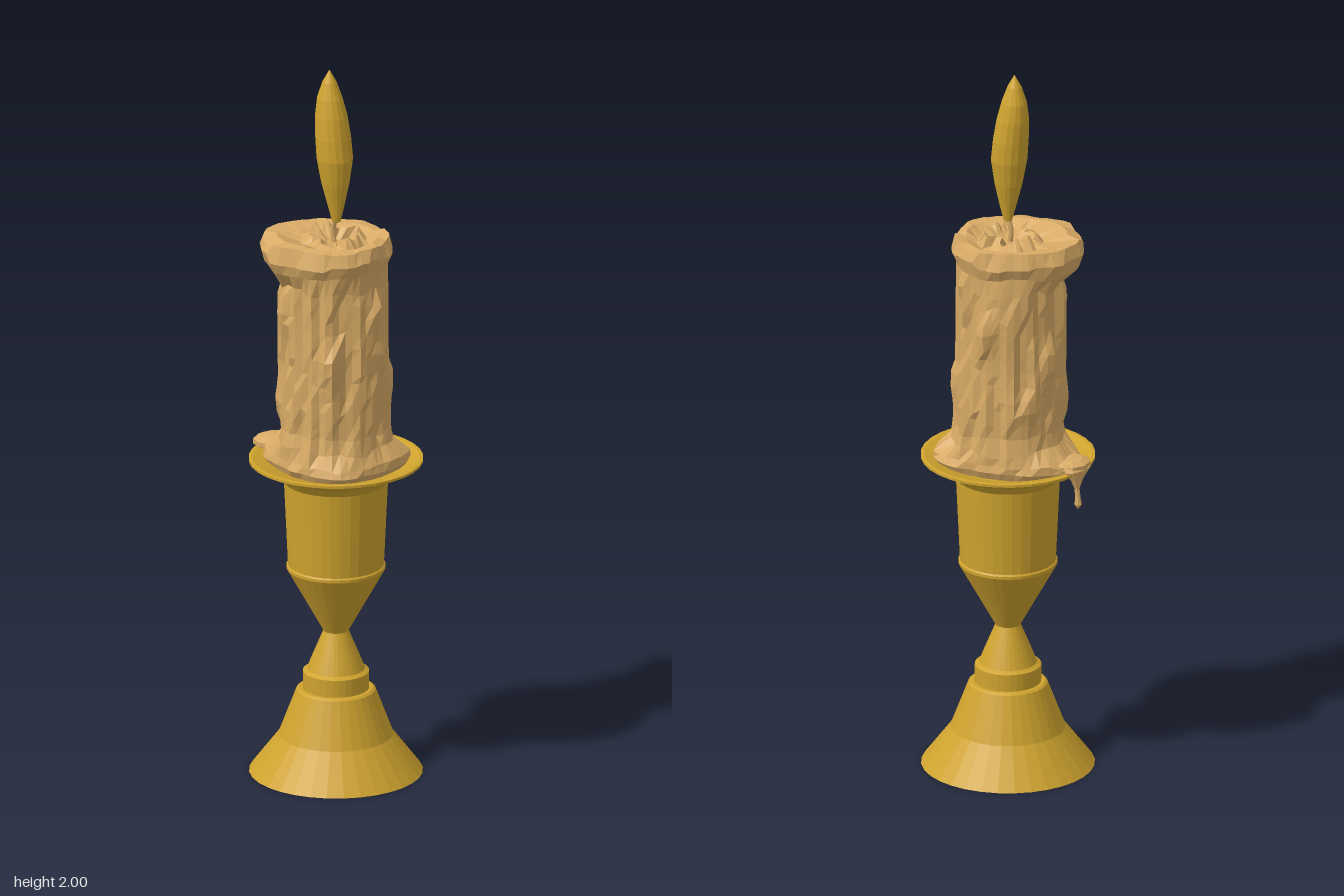
import * as THREE from 'three';

// Seeded noise in -1..1 for an integer pair
function noise(a, b) {
  let h = Math.imul(a + 17, 374761393) ^ Math.imul(b + 31, 668265263);
  h = Math.imul(h ^ (h >>> 13), 1274126177);
  return (((h ^ (h >>> 16)) >>> 0) / 4294967295) * 2 - 1;
}

// Value of a closed table of radii at a fraction of the turn (+x towards +z)
function around(table, t) {
  const f = t * table.length, i = Math.floor(f), k = f - i, n = table.length;
  return table[i % n] * (1 - k) + table[(i + 1) % n] * k;
}

// Flat-faced skin over rings of points, each ring ordered from +x towards +z
function loft(rings) {
  const n = rings[0].length, pos = [], index = [];
  rings.forEach(r => r.forEach(p => pos.push(...p)));
  for (let j = 0; j < rings.length - 1; j++) {
    for (let i = 0; i < n; i++) {
      const a = j * n + i, b = j * n + (i + 1) % n;
      index.push(a, a + n, b, b, a + n, b + n);
    }
  }
  const g = new THREE.BufferGeometry();
  g.setAttribute('position', new THREE.Float32BufferAttribute(pos, 3));
  g.setIndex(index);
  return facet(g);
}

function facet(g) {
  const f = g.index ? g.toNonIndexed() : g;
  f.computeVertexNormals();
  return f;
}

// Rings from rows of [y, centre x, centre z, radius x, radius z]
function ellipseRings(rows, n) {
  return rows.map(([y, cx, cz, rx, rz]) => Array.from({ length: n }, (_, i) => {
    const a = i / n * Math.PI * 2;
    return [cx + rx * Math.cos(a), y, cz + rz * Math.sin(a)];
  }));
}

function waxRings() {
  const N = 48;
  const rim = [.16, .16, .165, .165, .17, .195, .205, .205, .19, .165, .15, .15, .16, .155, .155, .155];
  const foot = [.18, .175, .19, .175, .16, .165, .185, .205, .215, .185, .16, .15, .155, .185, .21, .195];
  // Lumps on the side: turn fraction, height, size
  const lumps = [[.16, 1.2, .022], [0, 1.36, .018], [.98, 1.2, .016], [.5, 1.2, .014],
    [.32, 1.33, .016], [.7, 1.3, .018], [.85, 1.12, .014], [.6, 1.08, .014], [.4, 1.06, .014]];
  const ring = fn => Array.from({ length: N }, (_, i) => {
    const t = i / N, a = t * Math.PI * 2, [r, y] = fn(i, t);
    return [r * Math.cos(a), y, r * Math.sin(a)];
  });
  const side = (i, t, y, row) => {
    let r = .144 + .006 * noise(i, 1) + .007 * noise(i >> 1, 50 + Math.floor((row + i % 3) / 3));
    for (const [lt, ly, s] of lumps) {
      let d = Math.abs(t - lt);
      d = Math.min(d, 1 - d);
      r += s * Math.exp(-((d / .035) ** 2) - ((y - ly) / .055) ** 2);
    }
    return r;
  };
  const rings = [
    ring((i, t) => [around(foot, t) * .9, .865]),
    ring((i, t) => [around(foot, t) + .005 * noise(i >> 1, 2), .893]),
    ring((i, t) => [around(foot, t) * .96 + .005 * noise(i >> 1, 3), .912 + .006 * noise(i >> 1, 4)]),
    ring((i, t) => [side(i, t, .94, 0) + .008, .945 + .012 * noise(i >> 1, 5)])
  ];
  for (let k = 1; k <= 12; k++) {
    rings.push(ring((i, t) => {
      const y = .95 + k * .038;
      return [side(i, t, y, k), y + .01 * noise(i >> 1, 20 + k)];
    }));
  }
  // Overhanging rim and melted top
  rings.push(
    ring((i, t) => [around(rim, t) * .93, 1.45 + .018 * noise(i >> 2, 6)]),
    ring((i, t) => [around(rim, t) + .005 * noise(i >> 1, 7), 1.49 + .012 * noise(i >> 2, 8)]),
    ring((i, t) => [around(rim, t) * .93 + .004 * noise(i >> 1, 9), 1.525 + .008 * noise(i >> 2, 10)]),
    ring((i, t) => [around(rim, t) * .76, 1.53 + .006 * noise(i >> 2, 11)]),
    ring(i => [.09 + .006 * noise(i >> 1, 12), 1.515 + .006 * noise(i >> 1, 13)]),
    ring(i => [.067 + .006 * noise(i >> 1, 14), 1.53 + .018 * noise(i >> 1, 15)]),
    ring(i => [.046, 1.525 + .015 * noise(i >> 1, 16)]),
    ring(() => [.022, 1.51]),
    ring(() => [0, 1.51])
  );
  return rings;
}

export function createModel() {
  const group = new THREE.Group();
  const brass = new THREE.MeshStandardMaterial({ color: 0xcfa32e, side: THREE.DoubleSide });
  brass.name = 'brass';
  const wax = new THREE.MeshStandardMaterial({ color: 0xd9ab66, side: THREE.DoubleSide });
  wax.name = 'wax';
  const add = (name, geometry, material) => {
    const m = new THREE.Mesh(geometry, material);
    m.name = name;
    group.add(m);
    return m;
  };

  // Hollow turned holder with drip dish
  const profile = [[.235, 0], [.155, .105], [.107, .232], [.1, .237], [.09, .237], [.09, .285],
    [.078, .292], [.065, .325], [.034, .4], [.134, .58], [.134, .588], [.13, .592], [.141, .83],
    [.158, .852], [.19, .872], [.236, .888], [.236, .895], [.226, .896], [.15, .872], [0, .868]];
  const holder = add('holder', facet(new THREE.LatheGeometry(
    profile.map(p => new THREE.Vector2(...p)), 32)), brass);
  holder.position.x = .005;

  // Melted candle
  add('candle', loft(waxRings()), wax);

  // Wax spilling over the dish edge, and its hanging drop
  const spill = facet(new THREE.SphereGeometry(1, 9, 5));
  const spillMesh = add('spill', spill, wax);
  spillMesh.scale.set(.055, .02, .06);
  spillMesh.position.set(-.19, .907, .03);
  add('drip', loft(ellipseRings([
    [.79, -.234, .01, 0, 0], [.805, -.235, .01, .01, .01], [.825, -.234, .01, .007, .008],
    [.85, -.231, .01, .006, .008], [.875, -.227, .015, .011, .024], [.9, -.222, .025, .02, .05],
    [.918, -.205, .025, .018, .045], [.922, -.2, .025, 0, 0]], 8)), wax);

  // Wick
  add('wick', new THREE.TubeGeometry(new THREE.CatmullRomCurve3([
    new THREE.Vector3(0, 1.5, 0), new THREE.Vector3(-.006, 1.54, 0), new THREE.Vector3(.004, 1.585, 0)
  ]), 5, .007, 6), wax);

  // Leaning flame
  add('flame', loft(ellipseRings([
    [1.565, .006, 0, 0, 0], [1.572, .006, 0, .013, .01], [1.62, .005, 0, .025, .022],
    [1.68, .003, 0, .039, .037], [1.75, .001, 0, .05, .049], [1.81, -.005, 0, .048, .049],
    [1.87, -.012, 0, .045, .043], [1.92, -.017, 0, .036, .033], [1.965, -.018, 0, .02, .019],
    [2, -.018, 0, 0, 0]], 16)), brass);

  return group;
}
